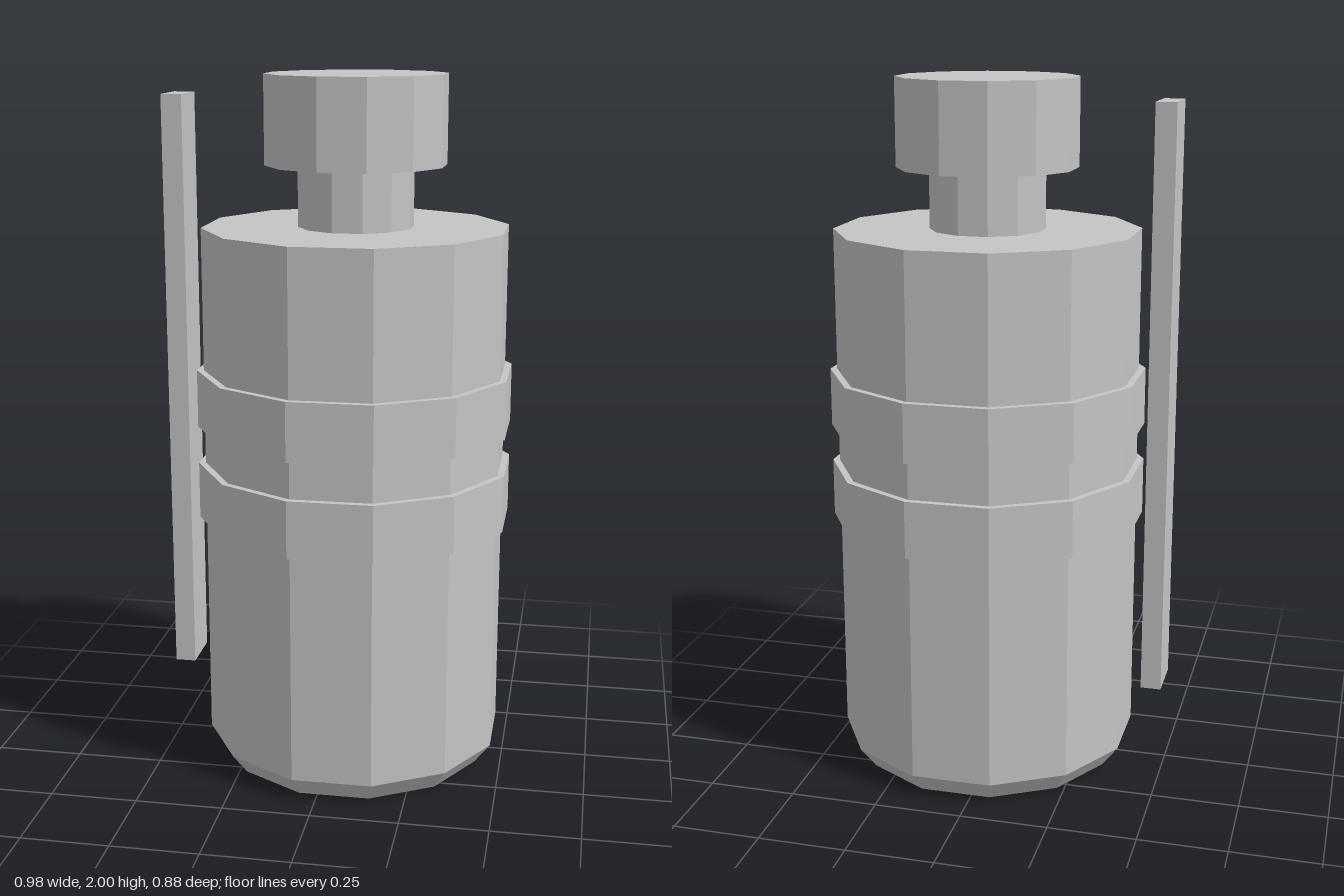
import * as THREE from 'three';

export function createModel() {
  const model = new THREE.Group();
  const grey = new THREE.MeshStandardMaterial({ color: 0xc4c4c4 });
  grey.name = 'plain grey';
  grey.flatShading = true;

  const SIDES = 12;
  const AXIS_X = 0.048;
  const toCorner = 1 / Math.cos(Math.PI / SIDES);

  // Twelve-sided drum between two heights; sizes are centre-to-flat distances
  function drum(name, y0, y1, bottom, top = bottom, open = false) {
    const geometry = new THREE.CylinderGeometry(
      top * toCorner, bottom * toCorner, y1 - y0, SIDES, 1, open, Math.PI / SIDES);
    const mesh = new THREE.Mesh(geometry, grey);
    mesh.name = name;
    mesh.position.set(AXIS_X, (y0 + y1) / 2, -0.001);
    model.add(mesh);
  }

  // Body with bevelled foot
  drum('bevelledBase', 0, 0.063, 0.377, 0.423);
  drum('body', 0.063, 1.578, 0.423);

  // Raised bands around the body
  drum('lowerBand', 0.73, 0.895, 0.442);
  drum('upperBand', 1.003, 1.17, 0.442);

  // Neck and cap
  drum('neck', 1.578, 1.75, 0.159);
  drum('cap', 1.75, 2, 0.249);

  // Separate upright lever strip beside the body
  const lever = new THREE.Mesh(new THREE.BoxGeometry(0.059, 1.693, 0.145), grey);
  lever.name = 'sideLever';
  lever.position.set(-0.463, 1.096, -0.002);
  model.add(lever);

  return model;
}
